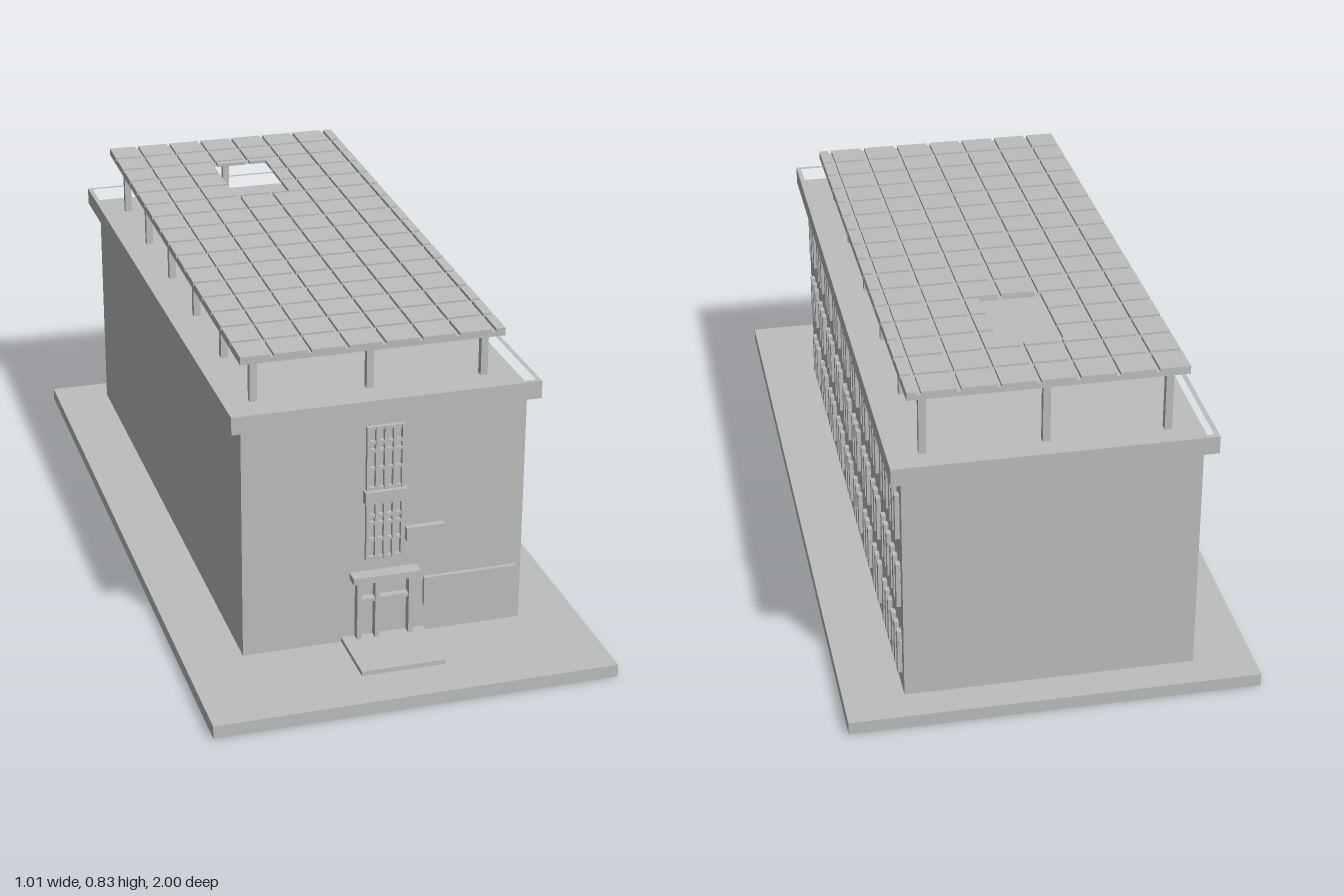
import * as THREE from 'three';

export function createModel() {
  const model = new THREE.Group();
  const grey = new THREE.MeshStandardMaterial({ color: 0xbcbfbd });
  grey.name = 'plain grey';

  // Box given by its minimum and maximum on each axis
  function box(parent, name, x0, x1, y0, y1, z0, z1) {
    const mesh = new THREE.Mesh(new THREE.BoxGeometry(x1 - x0, y1 - y0, z1 - z0), grey);
    mesh.position.set((x0 + x1) / 2, (y0 + y1) / 2, (z0 + z1) / 2);
    mesh.name = name;
    parent.add(mesh);
    return mesh;
  }
  function group(name, parent = model) {
    const g = new THREE.Group();
    g.name = name;
    parent.add(g);
    return g;
  }
  // Flat slab with a rectangular opening, lying in the xz plane
  function slabWithHole(parent, name, outer, hole, y0, y1) {
    const rect = (P, [x0, x1, z0, z1]) => new P([[x0, -z0], [x1, -z0], [x1, -z1], [x0, -z1]]
      .map(([x, y]) => new THREE.Vector2(x, y)));
    const shape = rect(THREE.Shape, outer);
    shape.holes.push(rect(THREE.Path, hole));
    const geo = new THREE.ExtrudeGeometry(shape, { depth: y1 - y0, bevelEnabled: false });
    geo.rotateX(-Math.PI / 2).translate(0, y0, 0);
    const mesh = new THREE.Mesh(geo, grey);
    mesh.name = name;
    parent.add(mesh);
  }

  // Ground plate, walls and cornice with parapet
  const wallX = 0.357, front = 0.708, back = -0.915;
  box(model, 'groundPlate', -0.505, 0.505, 0, 0.033, -1, 1);
  box(model, 'walls', -wallX, wallX, 0.033, 0.648, back, front);
  slabWithHole(model, 'parapet', [-0.385, 0.385, -0.947, 0.733], [-0.373, 0.373, -0.935, 0.721], 0.64, 0.685);
  box(model, 'roofDeck', -0.374, 0.374, 0.641, 0.65, -0.936, 0.722);

  // Side windows: three upright bars and a crossbar, three floors of ten
  const windows = group('sideWindows');
  const windowZ = [0.58, 0.42, 0.26, 0.1, -0.06, -0.22, -0.385, -0.545, -0.705, -0.84];
  for (const y of [0.08, 0.27, 0.46]) {
    for (const z of windowZ) {
      const w = group('window', windows);
      for (const dz of [-0.04, 0, 0.04]) {
        box(w, 'windowBar', wallX - 0.002, 0.368, y, y + 0.118, z + dz - 0.009, z + dz + 0.009);
      }
      box(w, 'windowCrossbar', wallX - 0.002, 0.366, y + 0.084, y + 0.094, z - 0.052, z + 0.052);
    }
  }

  // Tall stairwell window: lattice in two stages with a box ledge between
  const stair = group('stairWindow');
  const f0 = front - 0.002;
  for (const y of [0.255, 0.442]) {
    const top = y === 0.255 ? 0.412 : 0.61;
    for (const x of [-0.045, -0.023, -0.001, 0.021, 0.043]) {
      box(stair, 'latticeUpright', x - 0.004, x + 0.004, y, top, f0, 0.72);
    }
    for (const t of [0.025, 0.34, 0.62, 0.75, 0.975]) {
      const yc = y + t * (top - y);
      box(stair, 'latticeRail', -0.049, 0.047, yc - 0.004, yc + 0.004, f0, 0.718);
    }
  }
  box(stair, 'stairLedge', -0.055, 0.052, 0.411, 0.443, f0, 0.731);

  // Entrance: step, frame, canopy
  const entrance = group('entrance');
  box(entrance, 'entranceStep', -0.107, 0.105, 0.033, 0.045, f0, 0.88);
  for (const [x0, x1] of [[-0.073, -0.062], [-0.027, -0.017], [0.059, 0.071]]) {
    box(entrance, 'doorUpright', x0, x1, 0.045, 0.205, f0, 0.73);
  }
  box(entrance, 'doorTransom', -0.064, 0.061, 0.145, 0.154, f0, 0.727);
  box(entrance, 'doorHead', -0.064, 0.061, 0.2, 0.206, f0, 0.727);
  box(entrance, 'entranceCanopy', -0.087, 0.085, 0.205, 0.222, f0, 0.745);

  // Blank panels on the front wall
  box(model, 'smallWallPanel', 0.053, 0.152, 0.295, 0.331, f0, 0.724);
  box(model, 'largeWallPanel', 0.102, 0.342, 0.108, 0.185, f0, 0.719);

  // Posts round the edge of the roof carry the sloping canopy
  const slope = 0.0324, lowY = 0.762, lowZ = 0.615;
  const posts = group('roofPosts');
  const postZ = [0.575, 0.297, 0.012, -0.265, -0.545, -0.825];
  postZ.forEach((z, i) => {
    for (const x of i === 0 || i === 5 ? [-0.292, 0, 0.292] : [-0.292, 0.292]) {
      box(posts, 'roofPost', x - 0.009, x + 0.009, 0.648, lowY + (lowZ - z) * slope + 0.004, z - 0.009, z + 0.009);
    }
  });

  // Sloping canopy, tiled with panels, with an opening near the back
  const canopy = group('roofCanopy');
  canopy.position.set(0, lowY, lowZ);
  canopy.rotation.x = slope;
  const W = 0.332, L = 1.478, hx = 0.077, h0 = -1.275, h1 = -1.025;
  slabWithHole(canopy, 'canopySlab', [-W, W, -L, 0], [-hx, hx, h0, h1], 0, 0.012);
  const tile = (x0, x1, z0, z1) => {
    if (x1 - x0 > 0.001 && z1 - z0 > 0.001) box(canopy, 'roofPanel', x0, x1, 0.011, 0.02, z0, z1);
  };
  const pitch = 0.0929, gap = 0.01, rowPitch = (L + gap) / 16;
  for (let c = 0; c < 8; c++) {
    const x0 = Math.max(-W, -0.342 + c * pitch);
    const x1 = Math.min(W, -0.342 + (c + 1) * pitch - gap);
    for (let r = 0; r < 16; r++) {
      const z1 = -r * rowPitch, z0 = z1 - rowPitch + gap;
      if (x1 <= -hx || x0 >= hx || z1 <= h0 || z0 >= h1) {
        tile(x0, x1, z0, z1);
        continue;
      }
      // Panel pieces left around the opening
      const a = Math.max(x0, -hx), b = Math.min(x1, hx);
      tile(x0, a, z0, z1);
      tile(b, x1, z0, z1);
      tile(a, b, z0, h0);
      tile(a, b, h1, z1);
    }
  }
  return model;
}
